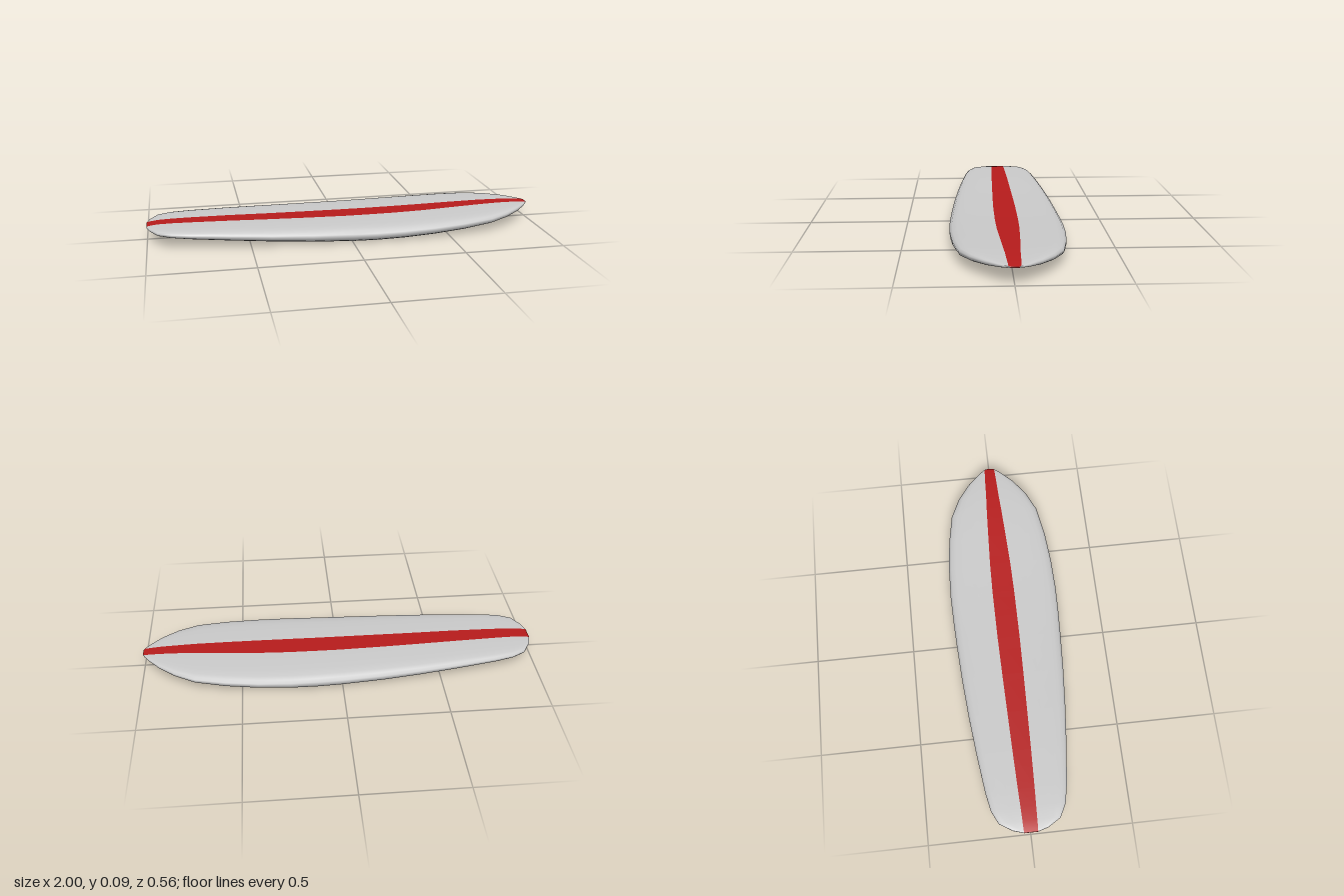
import * as THREE from 'three';

// Stations along the board: x, half width, bottom y, top y, stripe half width
const stations = [
  [-1, 0.035, 0.07, 0.078, 0.034],
  [-0.985, 0.085, 0.066, 0.082, 0.035],
  [-0.945, 0.15, 0.059, 0.087, 0.036],
  [-0.88, 0.182, 0.053, 0.089, 0.038],
  [-0.79, 0.2, 0.046, 0.089, 0.041],
  [-0.6, 0.224, 0.033, 0.087, 0.046],
  [-0.4, 0.245, 0.02, 0.083, 0.05],
  [-0.2, 0.261, 0.009, 0.08, 0.054],
  [0, 0.272, 0.002, 0.078, 0.057],
  [0.12, 0.277, 0.001, 0.078, 0.057],
  [0.26, 0.28, 0.005, 0.079, 0.057],
  [0.42, 0.275, 0.013, 0.082, 0.054],
  [0.58, 0.26, 0.024, 0.087, 0.047],
  [0.73, 0.233, 0.038, 0.091, 0.04],
  [0.83, 0.185, 0.05, 0.092, 0.034],
  [0.91, 0.125, 0.061, 0.091, 0.031],
  [0.965, 0.068, 0.071, 0.088, 0.028],
  [0.99, 0.036, 0.077, 0.086, 0.027],
  [1, 0.02, 0.079, 0.084, 0.019],
];

// Half cross-section from deck stripe round the rail to the bottom stripe:
// fraction from stripe edge to rail, fraction of thickness
const section = [
  [0, 1], [0.35, 0.99], [0.65, 0.96], [0.83, 0.9], [0.94, 0.8],
  [1, 0.62], [1, 0.42], [0.96, 0.2], [0.88, 0.07], [0.72, 0.01], [0.35, 0], [0, 0],
];

export function createModel() {
  const half = section.length;
  const ringSize = half * 2;
  const positions = [];
  const bodyIndex = [];
  const stripeIndex = [];

  // Closed ring at each station: +z side downwards, then -z side upwards
  for (const [x, w, bottom, top, stripe] of stations) {
    const point = (side, [s, v]) =>
      positions.push(x, bottom + (top - bottom) * v, side * (stripe + (w - stripe) * s));
    section.forEach((p) => point(1, p));
    [...section].reverse().forEach((p) => point(-1, p));
  }

  // Skin between rings; the centre segments of deck and bottom form the stripe
  for (let i = 0; i < stations.length - 1; i++) {
    for (let k = 0; k < ringSize; k++) {
      const next = (k + 1) % ringSize;
      const a = i * ringSize + k, b = i * ringSize + next;
      const c = a + ringSize, d = b + ringSize;
      const target = k === half - 1 || k === ringSize - 1 ? stripeIndex : bodyIndex;
      target.push(a, b, c, b, d, c);
    }
  }

  // Small blunt ends at tail and nose, in the stripe colour
  const last = (stations.length - 1) * ringSize;
  for (let k = 1; k < ringSize - 1; k++) {
    stripeIndex.push(0, k + 1, k);
    stripeIndex.push(last, last + k, last + k + 1);
  }

  // Normals are computed over the whole skin so body and stripe blend smoothly
  const whole = new THREE.BufferGeometry();
  whole.setAttribute('position', new THREE.Float32BufferAttribute(positions, 3));
  whole.setIndex([...bodyIndex, ...stripeIndex]);
  whole.computeVertexNormals();

  const group = new THREE.Group();
  group.name = 'surfboard';
  const addPart = (name, index, color) => {
    const geometry = new THREE.BufferGeometry();
    geometry.setAttribute('position', whole.getAttribute('position'));
    geometry.setAttribute('normal', whole.getAttribute('normal'));
    geometry.setIndex(index);
    const mesh = new THREE.Mesh(geometry, new THREE.MeshStandardMaterial({ color }));
    mesh.name = name;
    group.add(mesh);
  };
  addPart('boardBody', bodyIndex, 0xcccccc);
  addPart('centreStripe', stripeIndex, 0xb81c1c);
  return group;
}
